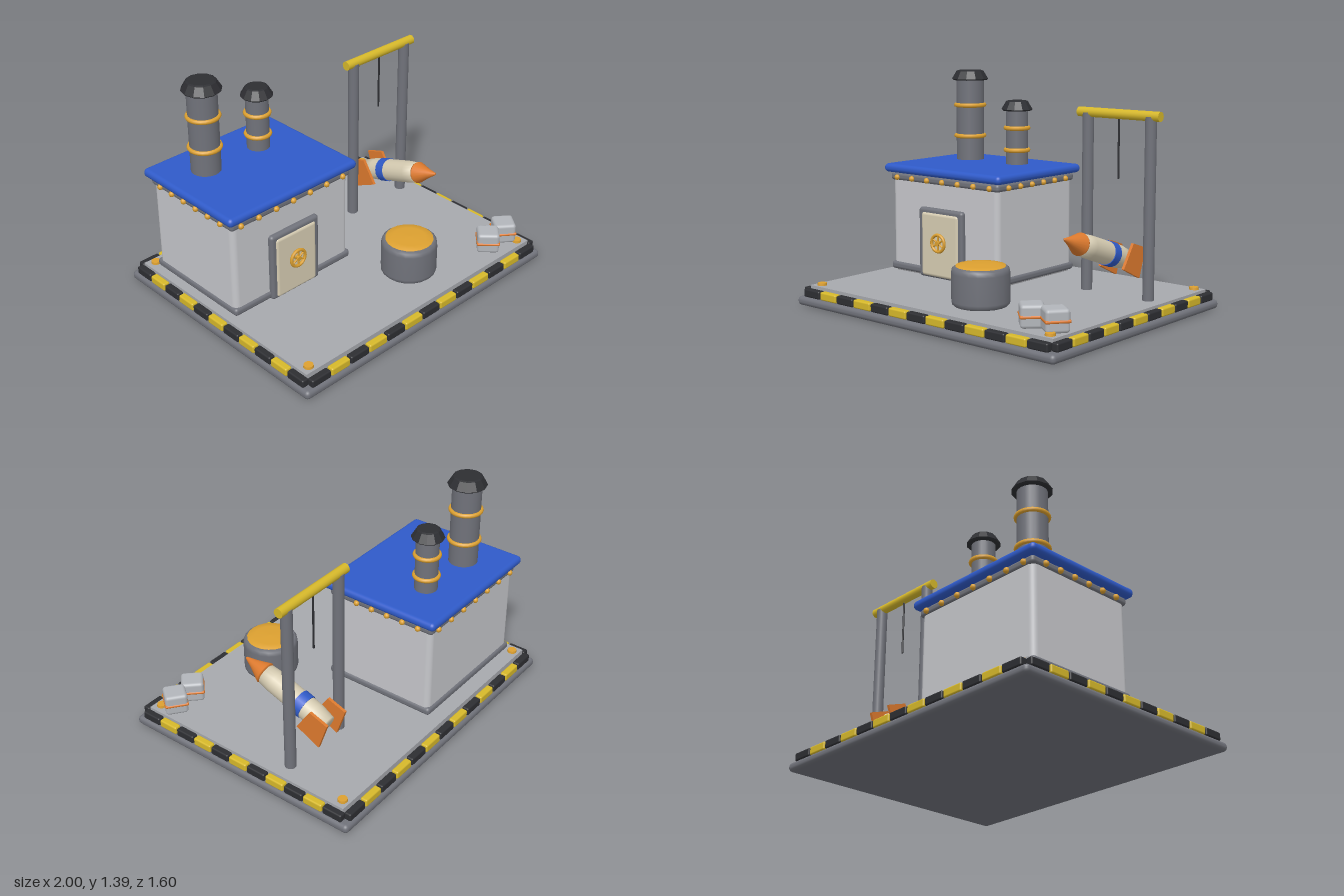
import * as THREE from 'three';
import { RoundedBoxGeometry } from 'three/addons/geometries/RoundedBoxGeometry.js';

const mat = (color, flat = false) => new THREE.MeshStandardMaterial({ color, flatShading: flat });
const M = {
  steel: mat(0x70727a), deck: mat(0xa6a8ad), black: mat(0x2d2e32), yellow: mat(0xd6b82a),
  wall: mat(0xc6c7cb), blue: mat(0x2f5ac8), cream: mat(0xd6ccb2), gold: mat(0xdca030),
  orange: mat(0xdd7a2e), crate: mat(0xb2b5ba), cap: mat(0x2d2e32, true),
};

function add(parent, name, geo, material, x = 0, y = 0, z = 0) {
  const m = new THREE.Mesh(geo, material);
  m.name = name;
  m.position.set(x, y, z);
  parent.add(m);
  return m;
}
const group = (parent, name, x = 0, y = 0, z = 0) => {
  const g = new THREE.Group();
  g.name = name;
  g.position.set(x, y, z);
  parent.add(g);
  return g;
};
const rbox = (w, h, d, r) => new RoundedBoxGeometry(w, h, d, 3, r);
const cyl = (rt, rb, h, n = 20) => new THREE.CylinderGeometry(rt, rb, h, n);
const lathe = (pts, n) => new THREE.LatheGeometry(pts.map(p => new THREE.Vector2(...p)), n);

// Base slab, deck, hazard border and corner bolts
function buildBase(root) {
  const g = group(root, 'base');
  add(g, 'baseSlab', rbox(2, 0.055, 1.6, 0.025), M.steel, 0, 0.0275);
  add(g, 'deck', new THREE.BoxGeometry(1.89, 0.08, 1.47), M.deck, 0, 0.08);
  const row = (count, half, offset, alongX) => {
    const pitch = 2 * half / count;
    const len = pitch - 0.008;
    for (const s of [-1, 1]) for (let i = 0; i < count; i++) {
      const t = -half + pitch * (i + 0.5);
      add(g, 'hazardBlock', alongX ? rbox(len, 0.05, 0.045, 0.01) : rbox(0.045, 0.05, len, 0.01),
        i % 2 ? M.yellow : M.black, alongX ? t : s * offset, 0.081, alongX ? s * offset : t);
    }
  };
  row(13, 0.953, 0.766, true);
  row(11, 0.755, 0.966, false);
  for (const x of [-0.89, 0.89]) for (const z of [-0.69, 0.69])
    add(g, 'cornerBolt', cyl(0.028, 0.03, 0.016, 12), M.gold, x, 0.127, z);
}

// Workshop walls, trims, rivets, roof and door
function buildWorkshop(root) {
  const g = group(root, 'workshop', -0.447, 0, -0.28);
  add(g, 'walls', rbox(0.89, 0.66, 0.72, 0.035), M.wall, 0, 0.44);
  add(g, 'footTrim', rbox(0.91, 0.05, 0.745, 0.02), M.steel, 0, 0.153);
  add(g, 'eaveTrim', rbox(0.91, 0.05, 0.74, 0.02), M.steel, 0, 0.73);
  add(g, 'roof', rbox(0.975, 0.055, 0.8, 0.026), M.blue, 0, 0.783);

  const rivet = new THREE.SphereGeometry(0.018, 10, 8);
  for (const s of [-1, 1]) {
    for (let i = -3; i <= 3; i++) add(g, 'rivet', rivet, M.gold, i * 0.13, 0.726, s * 0.373);
    for (let i = 0; i < 6; i++) add(g, 'rivet', rivet, M.gold, s * 0.458, 0.726, -0.275 + i * 0.11);
  }

  const door = group(g, 'door', -0.003, 0, 0.36);
  add(door, 'doorFrame', rbox(0.37, 0.44, 0.055, 0.02), M.steel, 0, 0.34, 0.003);
  add(door, 'doorPanel', rbox(0.31, 0.405, 0.055, 0.02), M.cream, 0, 0.332, 0.012);
  const wheel = group(door, 'doorWheel', 0, 0.35, 0.049);
  add(wheel, 'wheelRim', new THREE.TorusGeometry(0.053, 0.01, 8, 24), M.gold);
  for (let i = 0; i < 3; i++)
    add(wheel, 'wheelSpoke', cyl(0.006, 0.006, 0.1, 8), M.gold).rotation.z = i * Math.PI / 3;
  add(wheel, 'wheelHub', cyl(0.016, 0.016, 0.026, 12), M.gold).rotation.x = Math.PI / 2;
}

// Chimney with a flared cap and two bands
function buildChimney(root, x, r, capY, bands) {
  const g = group(root, 'chimney', x, 0, -0.415);
  add(g, 'chimneyPipe', cyl(r, r, capY - 0.77, 20), M.steel, 0, (capY + 0.77) / 2);
  const w = r + 0.03;
  add(g, 'chimneyCap', lathe([[0, 0], [w - 0.008, 0], [w, 0.008], [r, 0.058], [r - 0.012, 0.063], [0, 0.063]], 12),
    M.cap, 0, capY - 0.005);
  for (const y of bands)
    add(g, 'chimneyBand', new THREE.TorusGeometry(r + 0.002, 0.014, 8, 24), M.gold, 0, y).rotation.x = Math.PI / 2;
}

// Round vat with a domed lid
function buildVat(root) {
  const g = group(root, 'vat', 0.175, 0.12, 0.43);
  add(g, 'vatBody', lathe([[0, 0], [0.155, 0], [0.167, 0.012], [0.17, 0.03], [0.17, 0.19],
    [0.165, 0.214], [0.15, 0.226], [0, 0.226]], 20), M.steel);
  add(g, 'vatLid', lathe([[0.145, 0.215], [0.145, 0.23], [0.1, 0.235], [0, 0.238]], 20), M.gold);
}

// Hoist frame with a hanging cable
function buildGantry(root) {
  const g = group(root, 'gantry', 0.617, 0, -0.278);
  for (const s of [-1, 1])
    add(g, 'gantryPost', cyl(0.034, 0.034, 1.07, 16), M.steel, s * 0.222, 0.65);
  add(g, 'gantryBeam', cyl(0.029, 0.029, 0.575, 16), M.yellow, 0, 1.187).rotation.z = Math.PI / 2;
  add(g, 'cable', cyl(0.006, 0.006, 0.38, 8), M.black, 0, 1.0);
}

// Tilted rocket, built along +y then laid down with its nose to the front
function buildRocket(root) {
  const g = group(root, 'rocket', 0.617, 0.318, -0.37);
  g.rotation.x = THREE.MathUtils.degToRad(71);
  add(g, 'rocketBody', lathe([[0, 0], [0.056, 0], [0.07, 0.1], [0.07, 0.4], [0.062, 0.49], [0, 0.49]], 20), M.cream);
  add(g, 'rocketNose', lathe([[0, 0.475], [0.064, 0.475], [0.068, 0.487], [0.03, 0.57], [0.008, 0.63], [0, 0.636]], 20), M.orange);
  add(g, 'rocketBand', cyl(0.075, 0.075, 0.06, 20), M.blue, 0, 0.19);
  // Fin outline: shape x becomes the rocket's own z, shape y its length
  const outline = new THREE.Shape([[-0.09, -0.075], [0.095, -0.075], [0.075, 0.1], [-0.09, 0.055]]
    .map(p => new THREE.Vector2(...p)));
  const finGeo = new THREE.ExtrudeGeometry(outline, { depth: 0.018, bevelEnabled: false })
    .translate(0, 0, -0.009).rotateY(-Math.PI / 2);
  for (const s of [-1, 1]) add(g, 'rocketFin', finGeo, M.orange, s * 0.083, 0.035, 0);
}

// Strapped crates
function buildCrate(root, x, z, turn) {
  const g = group(root, 'crate', x, 0.12, z);
  g.rotation.y = turn;
  add(g, 'crateBox', rbox(0.135, 0.13, 0.135, 0.02), M.crate, 0, 0.065);
  add(g, 'crateStrap', rbox(0.143, 0.018, 0.143, 0.008), M.orange, 0, 0.064);
}

export function createModel() {
  const root = new THREE.Group();
  root.name = 'rocketWorkshop';
  buildBase(root);
  buildWorkshop(root);
  buildChimney(root, -0.67, 0.09, 1.332, [0.965, 1.165]);
  buildChimney(root, -0.27, 0.07, 1.155, [0.9, 1.04]);
  buildVat(root);
  buildGantry(root);
  buildRocket(root);
  buildCrate(root, 0.7, 0.61, 0.78);
  buildCrate(root, 0.855, 0.605, -0.65);
  return root;
}
